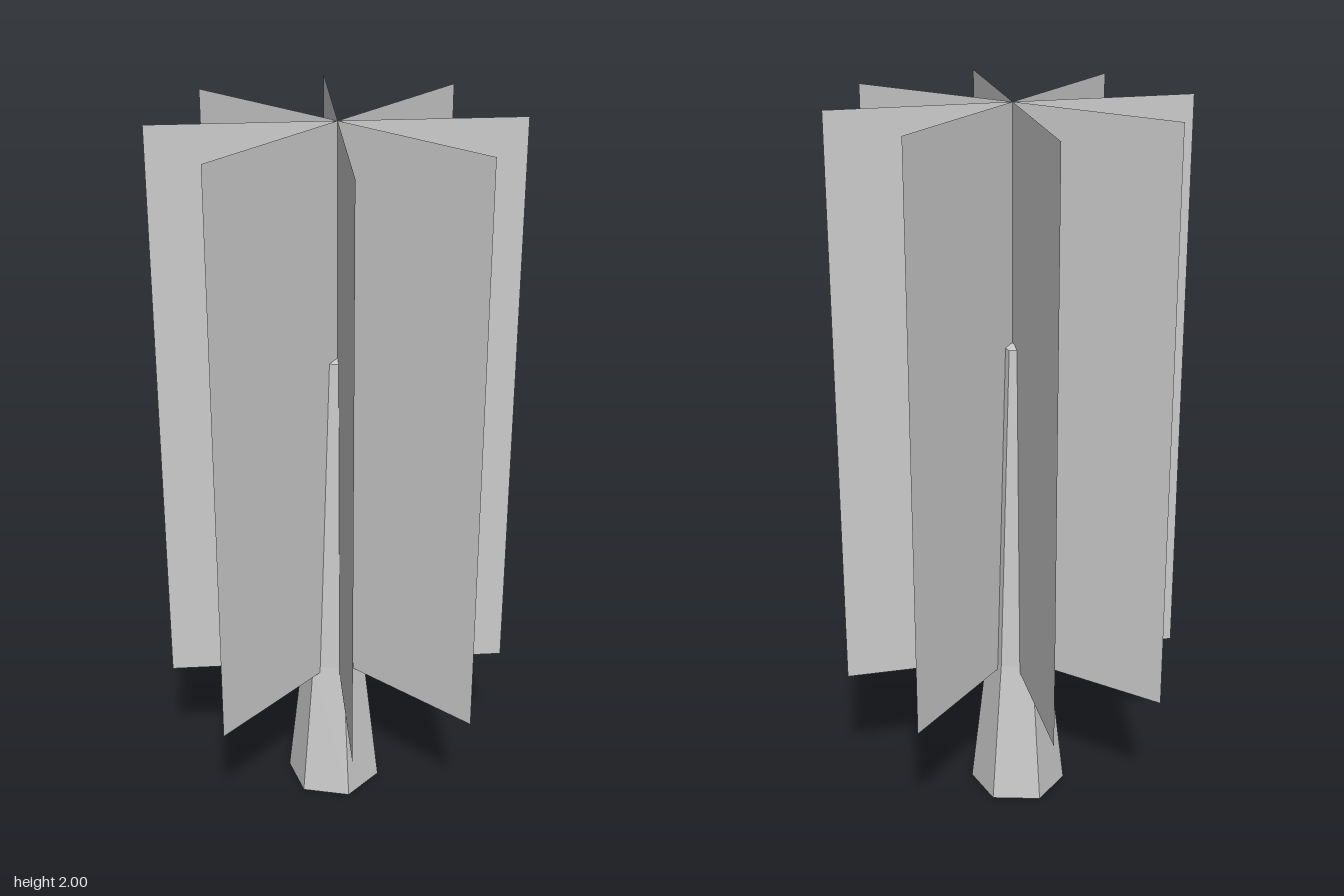
import * as THREE from 'three';

export function createModel() {
  const model = new THREE.Group();
  model.name = 'crossPlaneTree';

  // Tapered six-sided trunk, flared at the foot, with a shallow pointed tip
  const profile = [[0, 0], [0.136, 0], [0.089, 0.42], [0.045, 1.357], [0, 1.366]]
    .map(([r, y]) => new THREE.Vector2(r, y));
  const trunk = new THREE.Mesh(
    new THREE.LatheGeometry(profile, 6),
    new THREE.MeshStandardMaterial({ color: 0xcccccc, flatShading: true })
  );
  trunk.name = 'trunk';
  trunk.position.set(-0.018, 0, -0.001);
  model.add(trunk);

  // Four upright foliage cards crossing at the centre, 45 degrees apart
  const foliage = new THREE.Group();
  foliage.name = 'foliage';
  const cardGeometry = new THREE.PlaneGeometry(0.96, 1.6);
  const cardMaterial = new THREE.MeshStandardMaterial({ color: 0xcccccc, side: THREE.DoubleSide });
  for (let i = 0; i < 4; i++) {
    const card = new THREE.Mesh(cardGeometry, cardMaterial);
    card.name = `foliageCard${i + 1}`;
    card.position.y = 1.2;
    card.rotation.y = (i * Math.PI) / 4;
    foliage.add(card);
  }
  model.add(foliage);

  return model;
}
